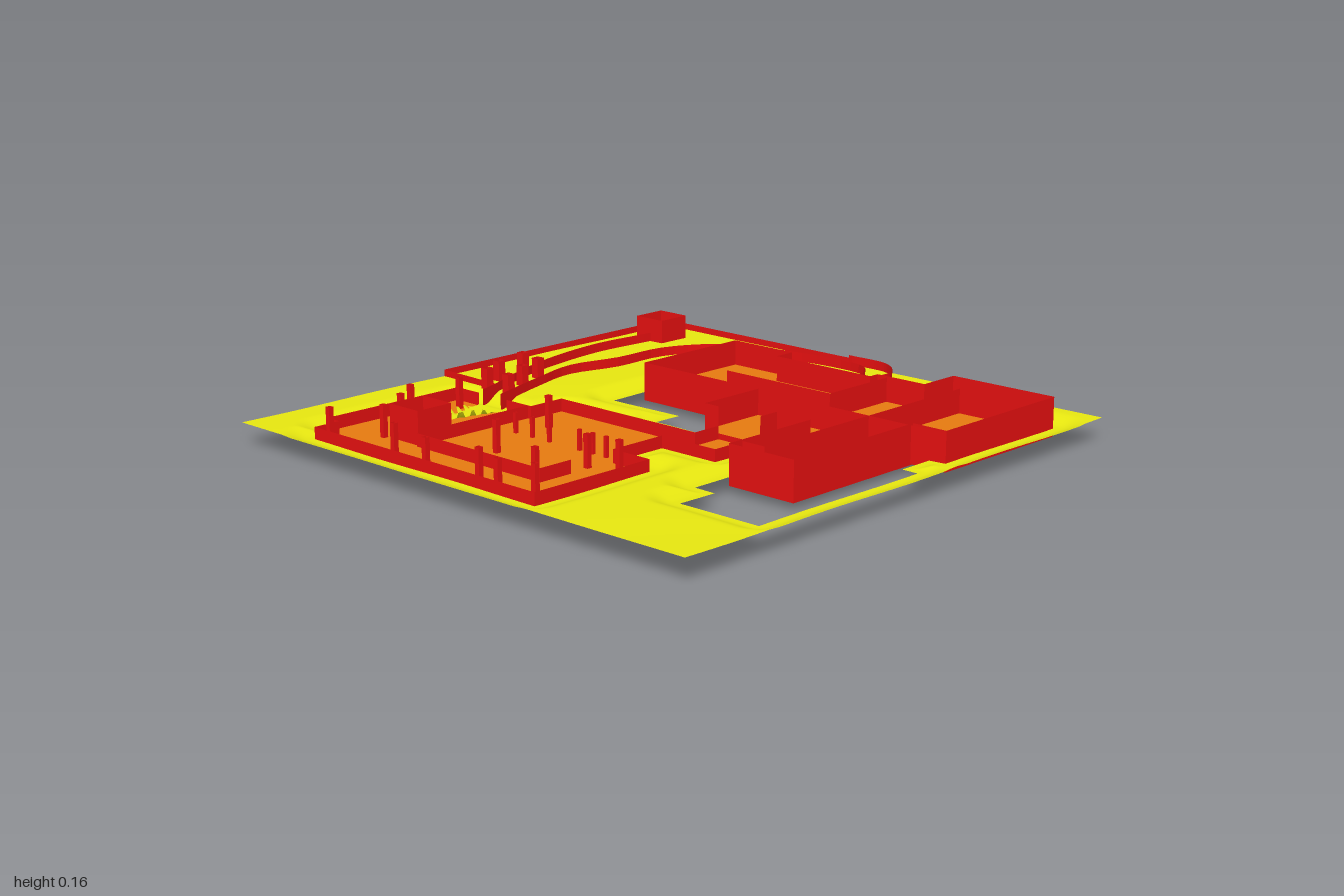
import * as THREE from 'three';

const paint = (color, flatShading = false) =>
  new THREE.MeshStandardMaterial({ color, side: THREE.DoubleSide, flatShading });
const RED = paint(0xe61010, true), ORANGE = paint(0xe67a10), YELLOW = paint(0xe6e610);

// Ground plans as [x, z] corners
const UPPER = [[-.39, -.73], [-.12, -.73], [-.12, -.65], [.3, -.65], [.3, -.69], [.5, -.69], [.5, -.85],
  [.91, -.85], [.91, -.27], [.78, -.27], [.78, .3], [.52, .3], [.52, -.08], [.38, -.08], [.38, 0],
  [.2, 0], [.14, 0], [.14, -.26], [-.39, -.26]];
const LOWER = [[.38, 0], [.38, .21], [.15, .21], [.15, .43], [.31, .43], [.31, .91], [-.73, .91],
  [-.73, .81], [-.79, .81], [-.79, .25], [-.42, .25], [-.42, .11], [.2, .11], [.2, 0]];
const COURT = [[-.39, -.26], [.14, -.26], [.14, 0], [-.08, 0], [-.08, -.11], [-.39, -.11]];
const YARD = [[.78, -.27], [.85, -.27], [.85, -.13], [.91, -.13], [.91, .6], [.6, .6], [.6, .45],
  [.52, .45], [.52, .3], [.78, .3]];
const RAMP = [[-.68, .25], [-.54, .25], [-.575, .38], [-.59, .45], [-.63, .45], [-.645, .38]];
const HOLES = [UPPER, LOWER, COURT, YARD];

function inside(x, z, poly) {
  let hit = false;
  poly.forEach(([ax, az], i) => {
    const [bx, bz] = poly[(i + 1) % poly.length];
    if ((az > z) !== (bz > z) && x < ax + (z - az) / (bz - az) * (bx - ax)) hit = !hit;
  });
  return hit;
}

function distance(x, z, poly) {
  let best = 9;
  poly.forEach(([ax, az], i) => {
    const [bx, bz] = poly[(i + 1) % poly.length], dx = bx - ax, dz = bz - az;
    const t = THREE.MathUtils.clamp(((x - ax) * dx + (z - az) * dz) / (dx * dx + dz * dz), 0, 1);
    best = Math.min(best, Math.hypot(x - ax - t * dx, z - az - t * dz));
  });
  return best;
}

function meshFrom(name, positions, index, material) {
  const g = new THREE.BufferGeometry();
  g.setAttribute('position', new THREE.Float32BufferAttribute(positions, 3));
  g.setIndex(index);
  g.computeVertexNormals();
  const m = new THREE.Mesh(g, material);
  m.name = name;
  return m;
}

// Upright sheet that follows a ground line
function wall(name, line, y0, y1, closed = false) {
  const pts = closed ? [...line, line[0]] : line, pos = [], idx = [];
  pts.forEach(([x, z], i) => {
    pos.push(x, y0, z, x, y1, z);
    const a = i * 2;
    if (i) idx.push(a - 2, a, a - 1, a, a + 1, a - 1);
  });
  return meshFrom(name, pos, idx, RED);
}

function curvedWall(name, line, y0, y1) {
  const curve = new THREE.CatmullRomCurve3(line.map(([x, z]) => new THREE.Vector3(x, 0, z)));
  return wall(name, curve.getPoints(40).map(p => [p.x, p.z]), y0, y1);
}

const square = (x, z, w, d = w) =>
  [[x - w / 2, z - d / 2], [x - w / 2, z + d / 2], [x + w / 2, z + d / 2], [x + w / 2, z - d / 2]];

function floor(name, plan, y) {
  const g = new THREE.ShapeGeometry(new THREE.Shape(plan.map(([x, z]) => new THREE.Vector2(x, -z))));
  g.rotateX(-Math.PI / 2).translate(0, y, 0);
  const m = new THREE.Mesh(g, ORANGE);
  m.name = name;
  return m;
}

// Ground sheet: dips beside the buildings and is cut away beneath them
function terrain() {
  const N = 200, pos = [], idx = [];
  for (let j = 0; j <= N; j++) for (let i = 0; i <= N; i++) {
    const x = i / 100 - 1, z = j / 100 - 1;
    const d = Math.min(...HOLES.map(h => distance(x, z, h)));
    const y = .053 + .024 * THREE.MathUtils.smoothstep(d, .02, .11)
      + .002 * Math.sin(9 * x + 2) * Math.cos(8 * z);
    pos.push(x, inside(x, z, RAMP) ? .056 : y, z);
  }
  for (let j = 0; j < N; j++) for (let i = 0; i < N; i++) {
    const x = (i + .5) / 100 - 1, z = (j + .5) / 100 - 1;
    if (HOLES.some(h => inside(x, z, h)) && !inside(x, z, RAMP)) continue;
    const a = j * (N + 1) + i, b = a + N + 1;
    idx.push(a, b, a + 1, b, b + 1, a + 1);
  }
  return meshFrom('terrain', pos, idx, YELLOW);
}

export function createModel() {
  const root = new THREE.Group();
  root.name = 'walledCompound';
  root.add(terrain(), floor('upperFloor', UPPER, .07), floor('lowerFloor', LOWER, .05));

  // Tall upper building, open at the passage to the lower one
  const start = UPPER.findIndex(([x, z]) => x === .2 && z === 0);
  root.add(wall('upperOuterWall', [...UPPER.slice(start), ...UPPER.slice(0, start)], .025, .16));
  root.add(wall('passageStep', [[.2, 0], [.38, 0]], .05, .07));
  [
    [[-.12, -.39], [.34, -.39], [.34, -.69]],
    [[.14, -.26], [.78, -.26], [.91, -.27]],
    [[.8, -.74], [.61, -.74], [.61, .24], [.52, .24]],
  ].forEach(l => root.add(wall('upperInnerWall', l, .03, .155)));
  [.54, .59].forEach(x => root.add(wall('shortPartition', [[x, .02], [x, .12]], .07, .12)));

  // Low lower building
  const west = LOWER.slice(0, 10), gate = [[-.54, .25], [-.42, .25], [-.42, .11], [.2, .11], [.2, 0]];
  root.add(wall('lowerOuterWall', [...west, [-.68, .25]], .045, .095));
  root.add(wall('lowerOuterWall', gate, .045, .095));
  root.add(wall('lowerInnerWall', [[-.435, .25], [-.435, .73], [.14, .73], [.14, .6]], .045, .095));
  root.add(wall('lowerRoom', square(-.51, .65, .14), .045, .165, true));

  // Posts of the lower building
  [-.33, -.25, -.17, -.03, .03, .09].forEach(x =>
    root.add(wall('rowPost', square(x, .4, .012), .04, .12, true)));
  [[-.7, .87], [-.6, .73], [-.67, .6], [-.74, .5], [-.7, .32], [-.4, .85], [-.2, .89], [0, .85],
    [.13, .89], [.25, .85], [.12, .73], [.25, .5], [.13, .52], [-.2, .6], [-.3, .28]].forEach(([x, z]) =>
    root.add(wall('post', square(x, z, .018), .04, .16, true)));

  // Boundary wall around the back right corner
  root.add(wall('boundaryWall', [[-.08, -1], [-1, -1], [-1, .13]], .002, .1));
  root.add(wall('boundaryWall', [[-1, .13], [-.72, .14]], .02, .1));

  // Winding path walls, corner tower and path posts
  root.add(curvedWall('innerPathWall', [[.08, -.66], [.13, -.8], [.07, -.9], [-.1, -.92], [-.35, -.88],
    [-.55, -.79], [-.65, -.62], [-.66, -.4], [-.7, -.2], [-.65, 0], [-.57, .25]], .035, .11));
  root.add(curvedWall('outerPathWall', [[-.08, -1], [.1, -.99], [.19, -.9], [.17, -.75]], .03, .11));
  root.add(curvedWall('outerPathWall', [[-.85, -.76], [-.87, -.5], [-.83, -.22], [-.76, 0], [-.7, .14],
    [-.66, .25]], .035, .11));
  root.add(wall('cornerTower', square(-.855, -.825, .13), .04, .165, true));
  [[-.84, -.1], [-.74, -.08], [-.81, .04], [-.7, .03], [-.76, .14], [-.64, .15]].forEach(([x, z]) =>
    root.add(wall('pathPost', square(x, z, .03), .05, .15, true)));
  return root;
}
